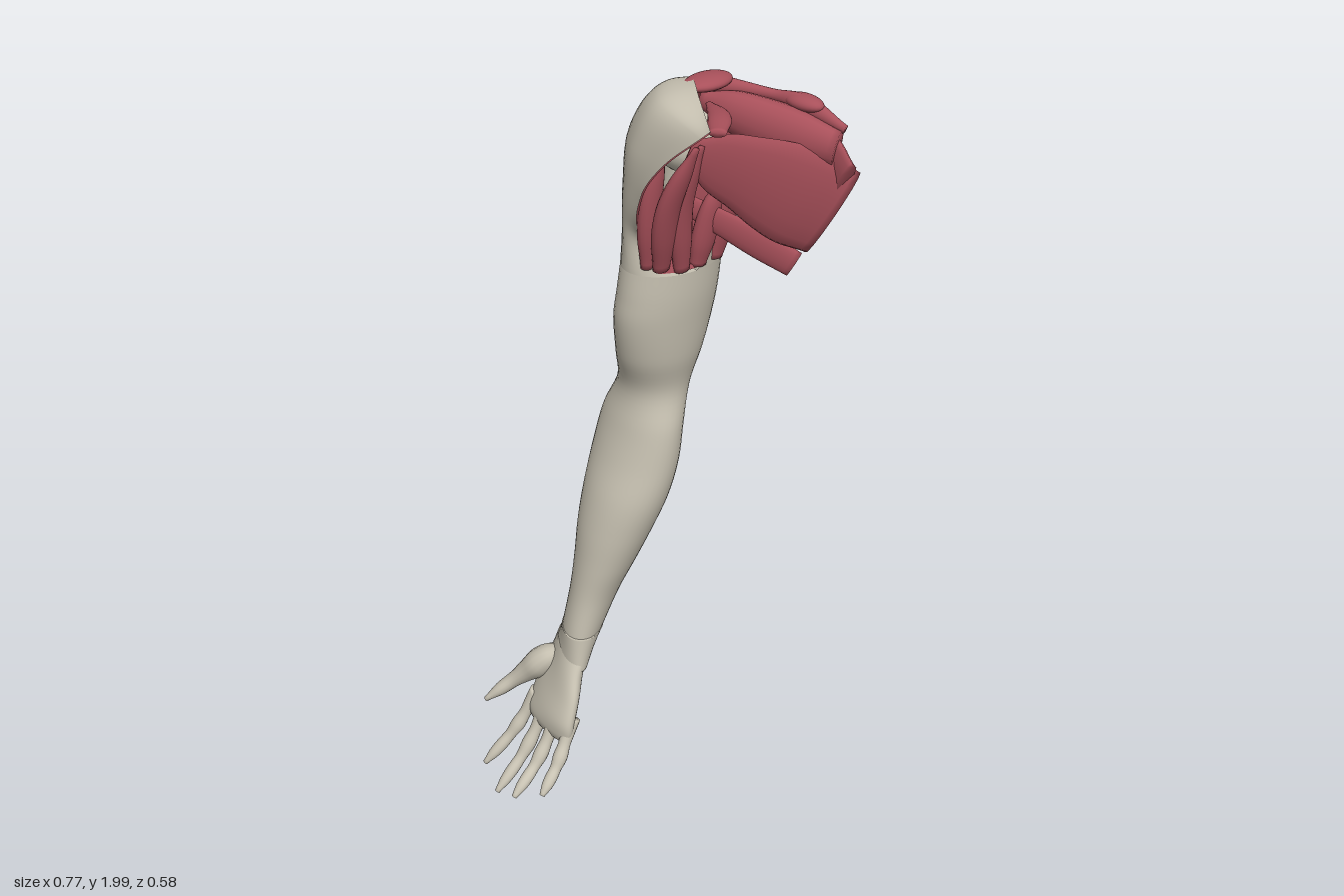
import * as THREE from 'three';

const V = (p) => new THREE.Vector3(...p);
const skin = new THREE.MeshStandardMaterial({ color: 0xccc6b6, side: THREE.DoubleSide });
const red = new THREE.MeshStandardMaterial({ color: 0xa8505a, side: THREE.DoubleSide });

// Smooth interpolation through a list of numbers, t from 0 to 1
function smooth(a, t) {
  const f = t * (a.length - 1), i = Math.min(Math.floor(f), a.length - 2), u = f - i;
  const p1 = a[i], p2 = a[i + 1], p0 = a[i - 1] ?? p1, p3 = a[i + 2] ?? p2;
  const m1 = (p2 - p0) / 2, m2 = (p3 - p1) / 2;
  return p1 + u * (m1 + u * (3 * (p2 - p1) - 2 * m1 - m2 + u * (2 * (p1 - p2) + m1 + m2)));
}

// Surface through rows of points; closed rows wrap around
function surface(name, rows, closed, material) {
  const n = rows[0].length, index = [];
  for (let i = 0; i < rows.length - 1; i++) {
    for (let j = 0; j < (closed ? n : n - 1); j++) {
      const k = (j + 1) % n, a = i * n + j, b = i * n + k;
      index.push(a, b, a + n, b, b + n, a + n);
    }
  }
  const g = new THREE.BufferGeometry().setFromPoints(rows.flat());
  g.setIndex(index);
  g.computeVertexNormals();
  const mesh = new THREE.Mesh(g, material);
  mesh.name = name;
  return mesh;
}

// Horizontal sections from top to bottom: [y, xMin, xMax, zMin, zMax, tilt, slope]
function loft(name, sections, capped = true, sides = 40, steps = 6) {
  const rows = [], count = (sections.length - 1) * steps;
  const ring = (t, s) => {
    const [y, x0, x1, z0, z1, k, slope] = sections[0].map((_, c) => smooth(sections.map((q) => q[c]), t));
    return Array.from({ length: sides }, (_, j) => {
      const a = (j / sides) * Math.PI * 2, c = Math.cos(a), d = Math.sin(a);
      return new THREE.Vector3((x0 + x1) / 2 + s * c * (x1 - x0) / 2, y - s * c * slope,
        (z0 + z1) / 2 + s * (k * c + Math.sqrt(1 - k * k) * d) * (z1 - z0) / 2);
    });
  };
  if (capped) rows.push(ring(0, 0));
  for (let i = 0; i <= count; i++) rows.push(ring(i / count, 1));
  rows.push(ring(1, 0.85), ring(1, 0));
  return surface(name, rows, true, skin);
}

// Elliptical section swept along a path; wide sets the broad direction, flat the thickness ratio
function sweep(name, path, radii, wide, flat, material, sides = 16, steps = 24) {
  const curve = new THREE.CatmullRomCurve3(path.map(V));
  const ring = (t, s) => {
    const p = curve.getPoint(t), T = curve.getTangent(t), w = V(wide);
    w.addScaledVector(T, -w.dot(T)).normalize();
    const n = T.clone().cross(w), r = smooth(radii, t) * s;
    return Array.from({ length: sides }, (_, j) => {
      const a = (j / sides) * Math.PI * 2;
      return p.clone().addScaledVector(w, r * Math.cos(a)).addScaledVector(n, r * flat * Math.sin(a));
    });
  };
  const rows = [ring(0, 0)];
  for (let i = 0; i <= steps; i++) rows.push(ring(i / steps, 1));
  rows.push(ring(1, 0));
  return surface(name, rows, true, material);
}

function ellipsoid(name, pos, size, material, tilt = 0) {
  const m = new THREE.Mesh(new THREE.SphereGeometry(1, 24, 16), material);
  m.name = name;
  m.position.set(...pos);
  m.scale.set(...size);
  m.rotation.y = tilt;
  return m;
}

// Shoulder cap, open on the inner side; each row runs front edge, front, outside, back, back edge
function shoulderRows() {
  const control = [
    [[0.30, 1.97, 0.055], [0.15, 1.995, -0.03], [0.08, 1.98, -0.09], [0.12, 1.96, -0.16], [0.23, 1.92, -0.25]],
    [[0.28, 1.95, 0.065], [0.10, 1.965, 0.035], [0.0, 1.95, -0.08], [0.08, 1.93, -0.2], [0.225, 1.89, -0.255]],
    [[0.18, 1.86, 0.08], [0.05, 1.86, 0.065], [-0.082, 1.85, -0.08], [0.04, 1.84, -0.235], [0.19, 1.83, -0.257]],
    [[0.10, 1.76, 0.075], [0.02, 1.75, 0.06], [-0.096, 1.75, -0.08], [0.02, 1.75, -0.228], [0.14, 1.75, -0.24]],
    [[0.06, 1.65, 0.045], [0.0, 1.65, 0.048], [-0.085, 1.65, -0.08], [0.01, 1.65, -0.21], [0.11, 1.65, -0.17]],
  ];
  const across = control.map((r) => new THREE.CatmullRomCurve3(r.map(V)).getPoints(40));
  // The last row is the top ring of the arm
  across.push(Array.from({ length: 41 }, (_, j) => {
    const a = (j / 40) * Math.PI * 2;
    return new THREE.Vector3(0.01 + 0.09 * Math.cos(a), 1.54, -0.08 + 0.125 * Math.sin(a));
  }));
  const columns = across[0].map((_, j) => new THREE.CatmullRomCurve3(across.map((r) => r[j])).getPoints(40));
  return columns[0].map((_, i) => columns.map((c) => c[i]));
}

export function createModel() {
  const model = new THREE.Group();
  model.name = 'arm';

  // Shoulder skin and the muscle layer lining it
  const rows = shoulderRows();
  const center = new THREE.Vector3(0.1, 1.75, -0.085);
  const inner = rows.map((r) => r.map((p) => p.clone().sub(center).multiplyScalar(0.965).add(center)));
  model.add(surface('shoulderSkin', rows, false, skin), surface('shoulderLining', inner, false, red));

  // Upper arm and forearm
  model.add(loft('armSkin', [
    [1.54, -0.08, 0.1, -0.205, 0.045, 0, 0],
    [1.47, -0.088, 0.092, -0.204, 0.05, 0, 0],
    [1.4, -0.1, 0.08, -0.2, 0.05, 0, 0],
    [1.3, -0.115, 0.06, -0.185, 0.03, 0, 0],
    [1.2, -0.143, 0.033, -0.165, 0.0, 0, 0],
    [1.1, -0.19, 0.04, -0.147, 0.013, 0, 0],
    [1.0, -0.208, 0.035, -0.143, 0.035, 0, 0],
    [0.9, -0.215, 0.02, -0.13, 0.062, 0.05, 0],
    [0.8, -0.217, -0.01, -0.105, 0.08, 0.1, 0],
    [0.7, -0.218, -0.045, -0.08, 0.09, 0.2, 0],
    [0.6, -0.222, -0.08, -0.05, 0.1, 0.3, 0],
    [0.49, -0.235, -0.102, -0.012, 0.115, 0.4, 0],
    [0.43, -0.245, -0.11, 0.02, 0.115, 0.5, 0],
  ], false));

  // Wrist cuff and palm
  model.add(loft('wristCuff', [
    [0.49, -0.237, -0.1, -0.014, 0.117, 0.4, 0],
    [0.45, -0.246, -0.104, 0.008, 0.119, 0.48, 0.008],
    [0.41, -0.256, -0.107, 0.028, 0.122, 0.55, 0.02],
  ]));
  model.add(loft('palm', [
    [0.43, -0.253, -0.108, 0.024, 0.118, 0.5, 0.01],
    [0.38, -0.272, -0.103, 0.04, 0.135, 0.6, 0],
    [0.32, -0.295, -0.088, 0.062, 0.155, 0.6, 0],
    [0.26, -0.29, -0.083, 0.09, 0.175, 0.5, 0],
    [0.22, -0.28, -0.087, 0.118, 0.178, 0.3, 0],
    [0.195, -0.265, -0.1, 0.138, 0.172, 0.2, 0],
  ]));

  // Fingers: base, middle joint and tip
  const fingers = {
    indexFinger: [[-0.262, 0.25, 0.13], [-0.295, 0.13, 0.185], [-0.33, 0.03, 0.258]],
    middleFinger: [[-0.21, 0.25, 0.135], [-0.228, 0.11, 0.2], [-0.238, 0.008, 0.285]],
    ringFinger: [[-0.16, 0.25, 0.14], [-0.165, 0.12, 0.205], [-0.162, 0.04, 0.284]],
    littleFinger: [[-0.108, 0.26, 0.135], [-0.096, 0.15, 0.19], [-0.085, 0.08, 0.25]],
  };
  for (const [name, path] of Object.entries(fingers)) {
    model.add(sweep(name, path, [0.022, 0.019, 0.016, 0.019, 0.015, 0.016, 0.014, 0.007], [1, 0, 0], 0.95, skin));
  }
  model.add(sweep('thumb', [[-0.2, 0.4, 0.085], [-0.265, 0.335, 0.115], [-0.322, 0.265, 0.16], [-0.368, 0.2, 0.222]],
    [0.015, 0.038, 0.045, 0.034, 0.024, 0.02, 0.008], [1, 1, 0], 0.85, skin));

  // Upper end of the arm bone
  model.add(ellipsoid('boneHead', [0.06, 1.84, -0.08], [0.07, 0.075, 0.075], skin));
  model.add(sweep('boneShaft', [[0.03, 1.82, -0.08], [0.01, 1.52, -0.08]], [0.05, 0.035, 0.035], [1, 0, 0], 1, skin));

  // Shoulder blade muscles, fanning out to the inner back
  model.add(sweep('frontBladeMuscle', [[0.14, 1.85, -0.02], [0.24, 1.795, -0.13], [0.335, 1.715, -0.255]],
    [0.035, 0.075, 0.095, 0.115, 0.125, 0.115], [0.2, 1, 0], 0.2, red));
  model.add(sweep('backBladeMuscle', [[0.1, 1.86, -0.2], [0.23, 1.81, -0.255], [0.335, 1.745, -0.265]],
    [0.03, 0.06, 0.1, 0.13, 0.135, 0.12], [0.1, 1, 0.15], 0.18, red));
  model.add(sweep('upperBladeMuscle', [[0.08, 1.93, -0.1], [0.2, 1.9, -0.165], [0.35, 1.87, -0.245]],
    [0.02, 0.045, 0.055, 0.055, 0.04], [0, 1, 0], 0.65, red));
  model.add(sweep('bladeRidge', [[0.1, 1.965, -0.12], [0.19, 1.95, -0.2], [0.27, 1.945, -0.225], [0.355, 1.91, -0.26]],
    [0.02, 0.012, 0.022, 0.01], [0, 1, 0], 0.8, red));
  model.add(sweep('lowerBand', [[0.07, 1.7, -0.06], [0.17, 1.64, -0.14], [0.26, 1.575, -0.22]],
    [0.025, 0.032, 0.037, 0.034], [0.1, 1, 0], 0.3, red));

  // Collar strip and the bony caps above the joint
  model.add(sweep('collarStrip', [[0.15, 1.95, -0.065], [0.23, 1.96, -0.025], [0.305, 1.965, 0.04]],
    [0.008, 0.02, 0.025, 0.018], [0.6, 0, -0.8], 0.5, red));
  model.add(ellipsoid('shoulderTip', [0.106, 1.977, -0.097], [0.038, 0.017, 0.06], red));
  model.add(ellipsoid('ridgeCap', [0.265, 1.95, -0.225], [0.048, 0.018, 0.026], red, 0.2));

  // Long muscle strands running down into the upper arm
  const strands = [
    [[0.19, 1.88, 0.0], [0.125, 1.73, 0.02], [0.075, 1.56, 0.0], 0.03],
    [[0.17, 1.87, -0.03], [0.12, 1.72, -0.02], [0.09, 1.55, -0.045], 0.028],
    [[0.1, 1.86, 0.02], [0.075, 1.72, 0.03], [0.05, 1.56, 0.015], 0.028],
    [[0.13, 1.75, -0.11], [0.11, 1.66, -0.1], [0.09, 1.55, -0.09], 0.03],
    [[0.14, 1.82, -0.18], [0.1, 1.69, -0.16], [0.08, 1.55, -0.14], 0.036],
  ];
  strands.forEach(([a, b, c, r], i) => model.add(
    sweep(`armStrand${i + 1}`, [a, b, c], [0.008, r * 0.8, r, r, r * 0.7], [0, 0, 1], 0.7, red)));

  // Small muscle patches showing near the elbow
  model.add(ellipsoid('elbowPatch', [-0.035, 1.09, -0.14], [0.025, 0.008, 0.012], red, -0.3));
  model.add(ellipsoid('forearmPatch', [-0.178, 1.02, -0.11], [0.01, 0.014, 0.008], red));
  return model;
}
